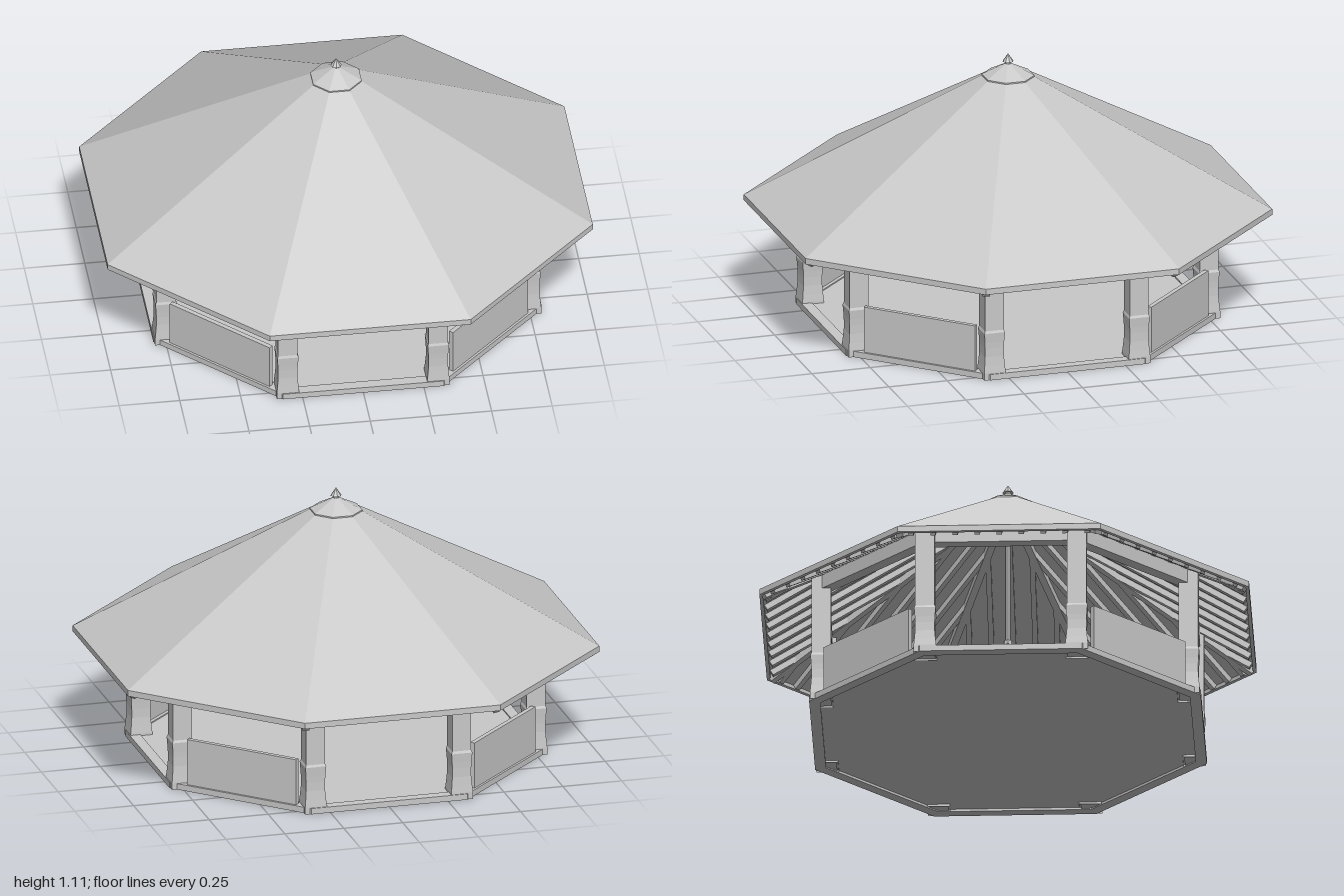
import * as THREE from 'three';

const SIDE = Math.PI / 4;
const CORNER = 1 / Math.cos(Math.PI / 8); // apothem to corner radius

export function createModel() {
  const model = new THREE.Group();
  model.name = 'gazebo';
  const grey = new THREE.MeshStandardMaterial({ color: 0xc8c8c8, side: THREE.DoubleSide, flatShading: true });
  grey.name = 'light grey';

  const add = (name, geometry, x = 0, y = 0, z = 0, parent = model) => {
    const mesh = new THREE.Mesh(geometry, grey);
    mesh.name = name;
    mesh.position.set(x, y, z);
    parent.add(mesh);
    return mesh;
  };
  // eight-sided solid from [apothem, y] points, flat sides facing the axes
  const octagon = (name, points) => add(name, new THREE.LatheGeometry(
    points.map(([r, y]) => new THREE.Vector2(r * CORNER, y)), 8, Math.PI / 8));
  // straight timber between two points
  const timber = (name, a, b, w, h, parent) => {
    const start = new THREE.Vector3(...a), end = new THREE.Vector3(...b);
    const mesh = new THREE.Mesh(new THREE.BoxGeometry(w, h, start.distanceTo(end)), grey);
    mesh.name = name;
    mesh.position.copy(start).lerp(end, 0.5);
    mesh.lookAt(end);
    parent.add(mesh);
  };

  // base: recessed floor inside a frame
  octagon('floor', [[0, 0.01], [0.76, 0.01], [0.76, 0.02], [0, 0.02]]);
  octagon('baseFrame', [[0.755, 0], [0.8, 0], [0.8, 0.025], [0.755, 0.025], [0.755, 0]]);

  // posts with flared lower cladding, square to the axes
  const foot = [[0.046, 0], [0.046, 0.03], [0.043, 0.06], [0.039, 0.11], [0.041, 0.16], [0.044, 0.2], [0.04, 0.21]]
    .map(([r, y]) => new THREE.Vector2(r * Math.SQRT2, y));
  for (const sx of [-1, 1]) for (const sz of [-1, 1]) {
    for (const [px, pz] of [[0.31, 0.75], [0.75, 0.31]]) {
      add('post', new THREE.BoxGeometry(0.08, 0.56, 0.08), sx * px, 0.285, sz * pz);
      add('postCladding', new THREE.LatheGeometry(foot, 4, Math.PI / 4), sx * px, 0, sz * pz);
    }
  }

  // roof shell, eave board, cap and finial
  const roofY = (z) => 0.47 + (1 - z) * 0.605;
  octagon('roof', [[0, 1.055], [0.99, 0.457], [1, 0.457], [1, 0.47], [0.09, roofY(0.09)]]);
  octagon('eaveBoard', [[0.985, 0.445], [1, 0.445], [1, 0.47], [0.985, 0.465], [0.985, 0.445]]);
  octagon('roofCap', [[0, 1.012], [0.1, 1.012], [0.1, 1.02], [0, 1.075]]);
  add('finial', new THREE.LatheGeometry(
    [[0, 1.06], [0.012, 1.06], [0.012, 1.078], [0.023, 1.078], [0, 1.112]].map((p) => new THREE.Vector2(...p)), 8));

  // repeated timbers for each of the eight sides
  for (let k = 0; k < 8; k++) {
    const side = new THREE.Group();
    side.name = 'roofSide';
    side.rotation.y = k * SIDE;
    model.add(side);

    // rafters run up the slope and stop at the hips
    for (let i = -4; i <= 4; i++) {
      const u = i * 0.09;
      const top = Math.max(Math.abs(u) * 2.414, 0.06);
      timber('rafter', [u, roofY(0.98) - 0.03, 0.98], [u, roofY(top) - 0.03, top], 0.022, 0.03, side);
    }
    const c = Math.tan(Math.PI / 8);
    timber('hipRafter', [0.985 * c, roofY(0.985) - 0.033, 0.985], [0.05 * c, roofY(0.05) - 0.033, 0.05], 0.03, 0.036, side);
    add('ringBeam', new THREE.BoxGeometry(0.62, 0.06, 0.05), 0, 0.53, 0.75, side);

    // low walls close the diagonal sides
    if (k % 2) add('lowWall', new THREE.BoxGeometry(0.51, 0.2, 0.02), 0, 0.12, 0.78, side);
  }

  // hanging lamp in the middle
  add('lampStem', new THREE.CylinderGeometry(0.012, 0.012, 0.62, 8), 0, 0.72, 0);
  add('lamp', new THREE.CylinderGeometry(0.02, 0.02, 0.018, 8), 0, 0.4, 0);
  return model;
}
